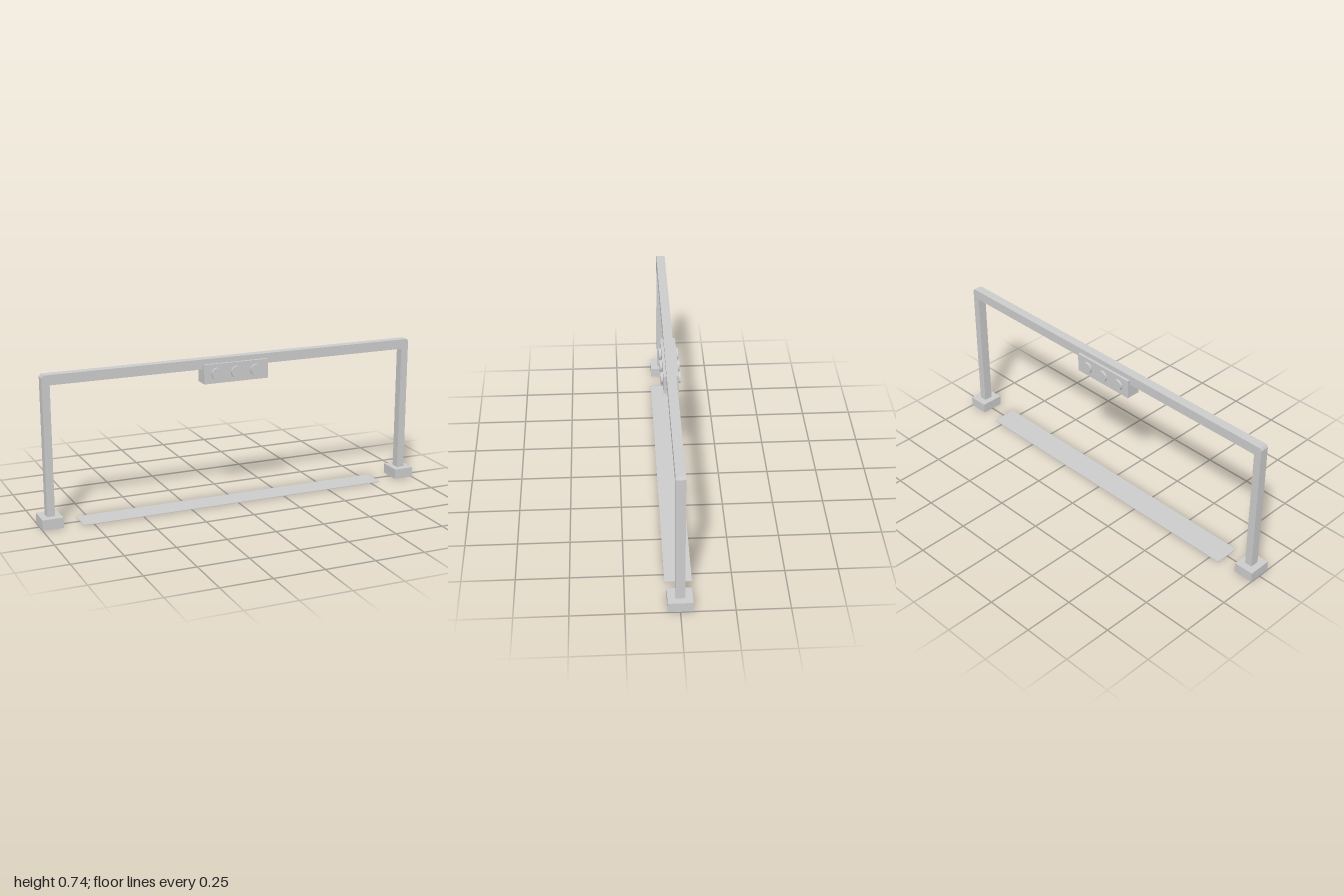
import * as THREE from 'three';

export function createModel() {
  const model = new THREE.Group();
  model.name = 'signalGantry';

  const grey = new THREE.MeshStandardMaterial({ color: 0xcccccc });
  grey.name = 'light grey';

  const add = (name, geometry, x = 0, y = 0, z = 0) => {
    const mesh = new THREE.Mesh(geometry, grey);
    mesh.name = name;
    mesh.position.set(x, y, z);
    model.add(mesh);
    return mesh;
  };

  // Posts and crossbeam in one outline, with chamfered top corners
  const right = [[0.929, 0.052], [0.967, 0.052], [0.967, 0.726], [0.959, 0.739]];
  const left = right.map(([x, y]) => [-x, y]).reverse();
  const outline = [...right, ...left, [-0.929, 0.69], [0.929, 0.69]];
  const shape = new THREE.Shape(outline.map(([x, y]) => new THREE.Vector2(x, y)));
  const depth = 0.045;
  const frame = new THREE.ExtrudeGeometry(shape, { depth, bevelEnabled: false });
  frame.translate(0, 0, -depth / 2);
  add('frame', frame);

  // Foundation block under each post
  for (const side of [-1, 1]) {
    add(side > 0 ? 'leftBase' : 'rightBase',
      new THREE.BoxGeometry(0.102, 0.051, 0.116), side * 0.949, 0.0272, 0);
  }

  // Thin line strip on the ground
  add('groundStrip', new THREE.BoxGeometry(1.604, 0.003, 0.128), 0, 0.0015, 0);

  // Lamp housing wrapped around the beam
  add('lampHousing', new THREE.BoxGeometry(0.338, 0.096, 0.072), 0, 0.666, 0);

  // Three round lamps on the front and back
  for (const face of [-1, 1]) {
    for (const i of [-1, 0, 1]) {
      const lamp = new THREE.CylinderGeometry(0.029, 0.029, 0.012, 32);
      lamp.rotateX(Math.PI / 2);
      add(face > 0 ? 'frontLamp' : 'backLamp', lamp, i * 0.103, 0.666, face * 0.041);
    }
  }

  return model;
}
